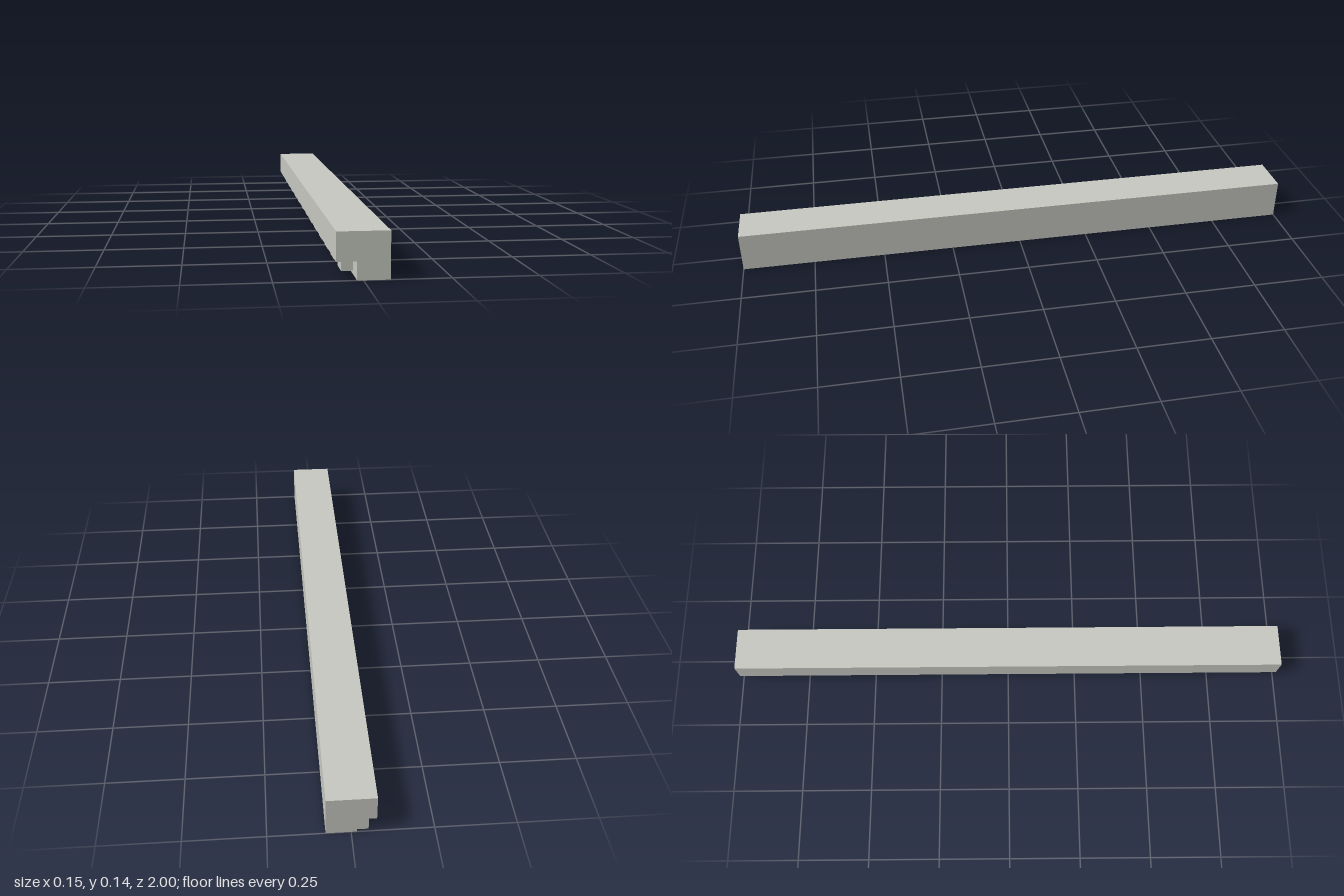
import * as THREE from 'three';

export function createModel() {
  const group = new THREE.Group();
  group.name = 'dentilMoulding';
  const stone = new THREE.MeshStandardMaterial({ color: 0xc6c8c0 });
  stone.name = 'pale stone';

  // Stepped beam: one profile run along the full length
  const length = 2;
  const profile = new THREE.Shape([
    [-0.076, 0.138], [-0.076, 0.053], [-0.018, 0.053],
    [-0.018, 0], [0.076, 0], [0.076, 0.138],
  ].map(([x, y]) => new THREE.Vector2(x, y)));
  const beamGeometry = new THREE.ExtrudeGeometry(profile, { depth: length, bevelEnabled: false });
  beamGeometry.translate(0, 0, -length / 2);
  const beam = new THREE.Mesh(beamGeometry, stone);
  beam.name = 'beam';
  group.add(beam);

  // Row of dentils under the overhang, gaps as wide as the blocks, starting flush at the back
  const count = 13;
  const pitch = length / count;
  const dentilGeometry = new THREE.BoxGeometry(0.034, 0.043, pitch / 2);
  for (let i = 0; i < count; i++) {
    const dentil = new THREE.Mesh(dentilGeometry, stone);
    dentil.name = `dentil${i + 1}`;
    dentil.position.set(-0.035, 0.0315, -length / 2 + pitch * (i + 0.25));
    group.add(dentil);
  }
  return group;
}
